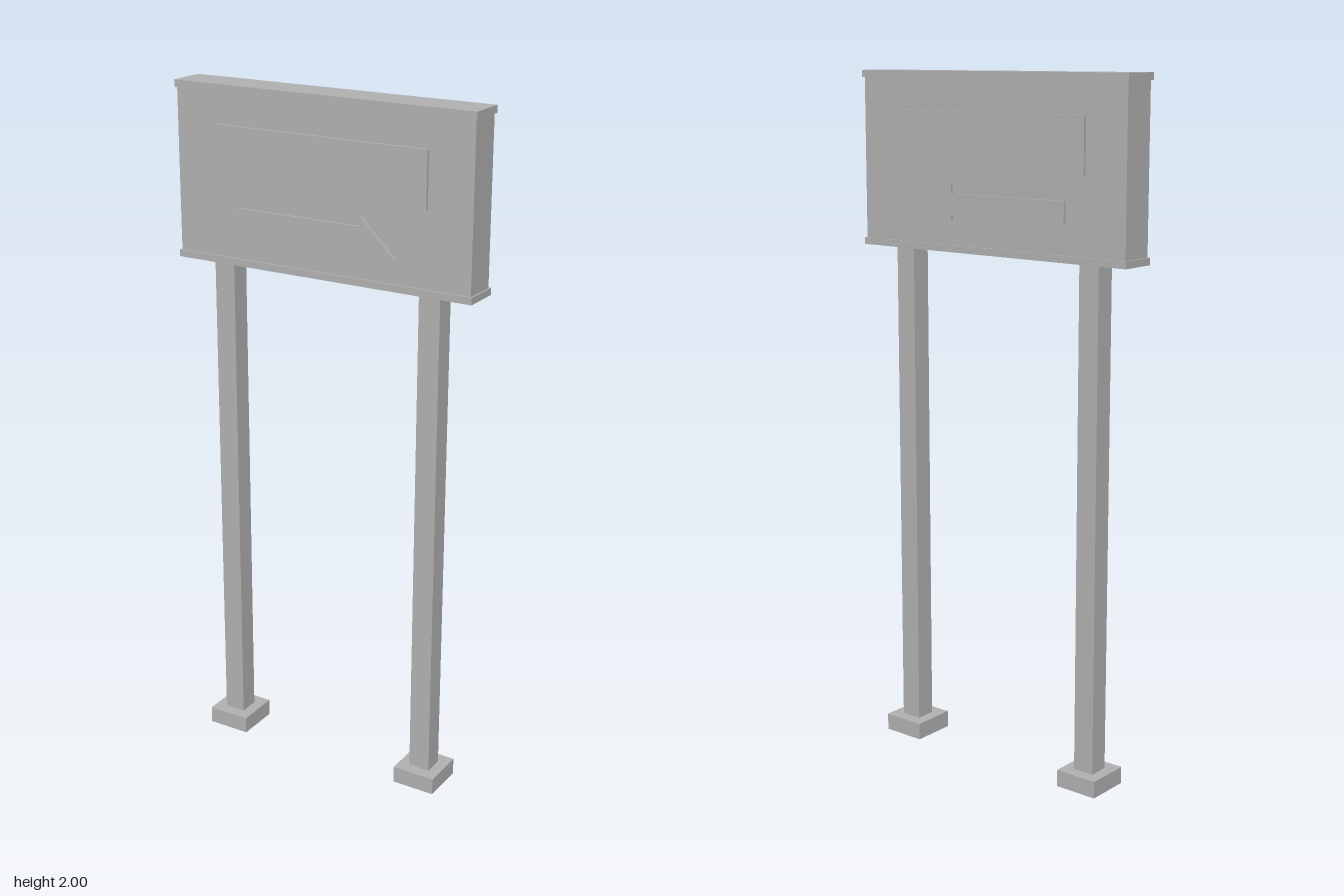
import * as THREE from 'three';

export function createModel() {
  const root = new THREE.Group();
  const grey = new THREE.MeshStandardMaterial({ color: 0xb0b0b0 });
  grey.name = 'grey';

  function add(name, geometry, x = 0, y = 0, z = 0) {
    const mesh = new THREE.Mesh(geometry, grey);
    mesh.name = name;
    mesh.position.set(x, y, z);
    root.add(mesh);
    return mesh;
  }
  // box given by its bottom height
  const box = (name, w, h, d, x, y, z = 0) =>
    add(name, new THREE.BoxGeometry(w, h, d), x, y + h / 2, z);

  // sign board with slightly wider rails at top and bottom
  box('board', 0.922, 0.46, 0.101, 0, 1.52);
  box('topRail', 0.932, 0.02, 0.112, 0, 1.98);
  box('bottomRail', 0.932, 0.02, 0.112, 0, 1.5);

  // posts and feet
  for (const [side, s] of [['left', 1], ['right', -1]]) {
    box(side + 'Post', 0.064, 1.45, 0.06, s * 0.329, 0.05);
    box(side + 'Foot', 0.13, 0.05, 0.132, s * 0.329, 0);
  }

  // arrow with a one-sided head, pointing to +x on both faces
  const arrow = new THREE.Shape([
    [-0.265, 1.605], [0.13, 1.605], [0.13, 1.588], [0.237, 1.588],
    [0.13, 1.693], [0.13, 1.665], [-0.265, 1.665],
  ].map(([x, y]) => new THREE.Vector2(x, y)));
  const arrowGeometry = new THREE.ExtrudeGeometry(arrow, { depth: 0.008, bevelEnabled: false });

  // raised plates on the front and back
  for (const [face, s] of [['front', 1], ['back', -1]]) {
    box(face + 'NamePlate', 0.658, 0.157, 0.008, 0, 1.734, s * 0.0545);
    add(face + 'Arrow', arrowGeometry, 0, 0, s > 0 ? 0.0505 : -0.0585);
  }
  return root;
}
